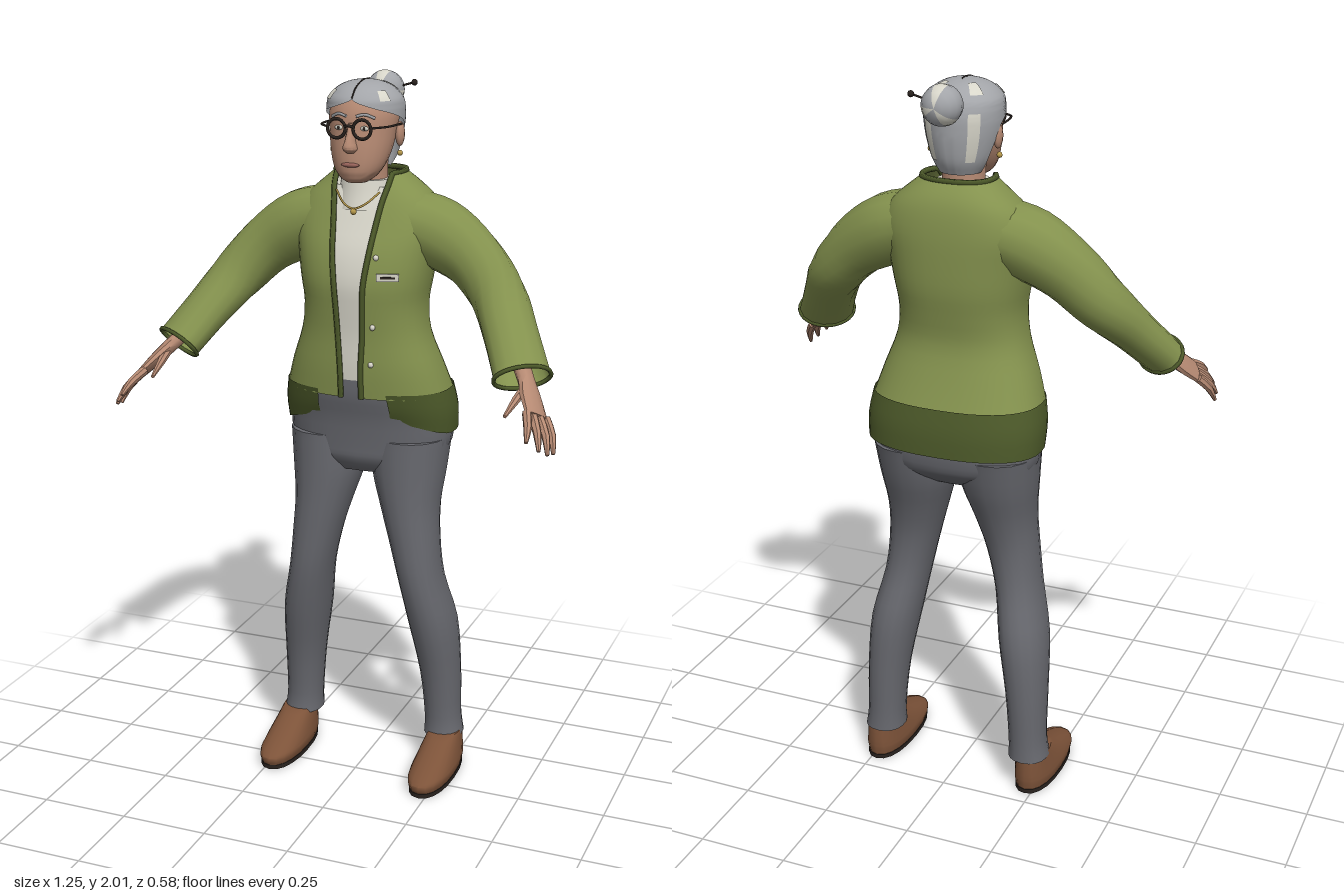
import * as THREE from 'three';
import { toCreasedNormals } from 'three/addons/utils/BufferGeometryUtils.js';

const mat = (name, color, side = THREE.FrontSide) => {
  const m = new THREE.MeshStandardMaterial({ color, side });
  m.name = name;
  return m;
};
const V = (x, y, z) => new THREE.Vector3(x, y, z);

// Smoothly subdivides the rows of a section table
function smooth(rows, k = 3) {
  const out = [];
  for (let i = 0; i < rows.length - 1; i++) {
    const [a, b, c, d] = [rows[Math.max(0, i - 1)], rows[i], rows[i + 1], rows[Math.min(rows.length - 1, i + 2)]];
    for (let j = 0; j < k; j++) {
      const t = j / k;
      out.push(b.map((v, q) => {
        const c3 = 3 * (v - c[q]) + d[q] - a[q];
        const c2 = 2 * a[q] - 5 * v + 4 * c[q] - d[q];
        return v + 0.5 * t * (c[q] - a[q] + t * (c2 + t * c3));
      }));
    }
  }
  out.push(rows[rows.length - 1]);
  return out;
}

// Level ring from [y, half width, front z, back z, start angle, centre x, front lift]
function ring([y, rx, zf, zb, a0 = 0, cx = 0, lift = 0], p = 2, n = 24, to) {
  const start = Math.max(0, a0), end = to ?? Math.PI * 2 - start;
  const pw = (v) => Math.sign(v) * Math.abs(v) ** (2 / p);
  return Array.from({ length: n + 1 }, (_, i) => {
    const a = start + (end - start) * i / n, c = Math.cos(a);
    return V(cx + rx * pw(Math.sin(a)), y + lift * Math.max(0, c) ** 2, (zf + zb) / 2 + (zf - zb) / 2 * pw(c));
  });
}

// Skin over successive rings, optionally closed at both ends
function loft(rings, caps = true, crease = 0.8) {
  const mid = (r) => {
    const c = V(0, 0, 0);
    r.slice(1).forEach((v) => c.add(v));
    c.divideScalar(r.length - 1);
    return r.map(() => c);
  };
  const all = caps ? [mid(rings[0]), ...rings, mid(rings[rings.length - 1])] : rings;
  const m = all[0].length, index = [];
  for (let i = 0; i < all.length - 1; i++) for (let j = 0; j < m - 1; j++) {
    const a = i * m + j, b = a + m;
    index.push(a, a + 1, b + 1, a, b + 1, b);
  }
  const g = new THREE.BufferGeometry().setFromPoints(all.flat());
  g.setIndex(index);
  return toCreasedNormals(g, crease);
}

// Rings along a path of [x, y, z, r1, r2]
function limbRings(pts, ref, k = 4, n = 14) {
  const rows = smooth(pts, k), pos = rows.map((r) => V(r[0], r[1], r[2]));
  return rows.map((r, i) => {
    const t = pos[Math.min(i + 1, pos.length - 1)].clone().sub(pos[Math.max(i - 1, 0)]).normalize();
    const u = ref.clone().cross(t).normalize(), v = t.clone().cross(u);
    return Array.from({ length: n + 1 }, (_, j) => {
      const a = j / n * Math.PI * 2;
      return pos[i].clone().addScaledVector(u, r[3] * Math.cos(a)).addScaledVector(v, r[4] * Math.sin(a));
    });
  });
}
const tube = (pts, r, seg = 24, closed = false) => new THREE.TubeGeometry(new THREE.CatmullRomCurve3(pts, closed), seg, r, 5, closed);

export function createModel() {
  const D = THREE.DoubleSide;
  const green = mat('cardigan green', 0x84924e, D), darkGreen = mat('trim green', 0x4d5a2a, D);
  const grey = mat('trouser grey', 0x68696f), brown = mat('shoe brown', 0x7d5339), dark = mat('dark', 0x29221e);
  const skin = mat('skin', 0xb68a73), white = mat('off white', 0xd8d6ca, D), hairM = mat('hair grey', 0xa3a5a9, D);
  const gold = mat('gold', 0xb89a4c), lip = mat('lip', 0x98635a);
  const model = new THREE.Group();
  const add = (name, geo, m, x = 0, y = 0, z = 0) => {
    const mesh = new THREE.Mesh(geo, m);
    mesh.name = name;
    mesh.position.set(x, y, z);
    model.add(mesh);
    return mesh;
  };

  // Cardigan: [y, half width, front z, back z, half width of the opening]
  const P = 2.4;
  const torso = smooth([
    [1.15, 0.237, 0.033, -0.272, 0.03], [1.23, 0.212, 0.04, -0.242, 0.03], [1.32, 0.18, 0.042, -0.217, 0.035],
    [1.40, 0.171, 0.05, -0.226, 0.038], [1.47, 0.181, 0.055, -0.238, 0.042], [1.55, 0.194, 0.04, -0.241, 0.052],
    [1.62, 0.205, 0.012, -0.24, 0.06], [1.68, 0.182, -0.012, -0.232, 0.068], [1.72, 0.14, -0.03, -0.217, 0.076],
    [1.755, 0.096, -0.045, -0.19, 0.08]]);
  const cardigan = torso.map((r) => ring([...r.slice(0, 4), Math.asin((r[4] / r[1]) ** (P / 2))], P, 36));
  add('cardigan', loft(cardigan, false), green);
  const edge = [...cardigan.map((r) => r[0]), ...cardigan[cardigan.length - 1].slice(1, -1), ...cardigan.map((r) => r[36]).reverse()];
  add('cardiganTrim', tube(edge, 0.008, 120), darkGreen);
  const hem = smooth([[1.035, 0.245, 0.006, -0.288, 0.36, 0, 0.055], [1.10, 0.247, 0.022, -0.286, 0.36, 0, 0.02], [1.165, 0.236, 0.037, -0.274, 0.36, 0, 0]]);
  add('cardiganHem', loft(hem.map((r) => ring(r, P, 36)), false), darkGreen);

  // Blouse and roll neck
  const inner = torso.filter((r) => r[0] > 1.19 && r[0] < 1.73);
  add('blouse', loft(inner.map(([y, rx, f, b]) => ring([y, rx - 0.008, f - 0.005, b + 0.01], P))), white);
  add('rollNeck', loft(smooth([[1.66, 0.083, 0.0, -0.17], [1.70, 0.076, -0.012, -0.16], [1.738, 0.07, -0.02, -0.153]]).map((r) => ring(r))), white);
  add('necklace', tube([V(-0.062, 1.71, -0.02), V(-0.03, 1.68, 0.007), V(0, 1.668, 0.014), V(0.03, 1.68, 0.007), V(0.062, 1.71, -0.02)], 0.003), gold);
  add('pendant', new THREE.SphereGeometry(0.009, 8, 6), gold, 0, 1.66, 0.014);
  for (const [x, y, z] of [[0.073, 1.545, 0.037], [0.066, 1.355, 0.042], [0.06, 1.25, 0.039]])
    add('button', new THREE.SphereGeometry(0.008, 8, 6), white, x, y, z);
  const tag = add('chestTag', new THREE.BoxGeometry(0.06, 0.02, 0.008), white, 0.108, 1.495, 0.041);
  const tagBar = add('tagStripe', new THREE.BoxGeometry(0.04, 0.006, 0.009), dark, 0.109, 1.495, 0.042);
  tag.rotation.y = tagBar.rotation.y = 0.3;

  // Trousers
  add('trouserSeat', loft(smooth([[0.92, 0.13, -0.03, -0.19], [0.96, 0.2, -0.005, -0.245], [1.0, 0.232, 0, -0.266], [1.08, 0.235, 0.01, -0.272],
    [1.15, 0.226, 0.027, -0.262], [1.21, 0.205, 0.03, -0.24]]).map((r) => ring(r, P))), grey);

  for (const s of [1, -1]) {
    const side = s > 0 ? 'left' : 'right';
    const leg = [[0.10, 0.224, 0.057, -0.085, -0.213], [0.16, 0.22, 0.052, -0.088, -0.212], [0.3, 0.213, 0.057, -0.068, -0.217],
      [0.46, 0.195, 0.066, -0.028, -0.214], [0.6, 0.168, 0.062, -0.004, -0.178], [0.72, 0.147, 0.07, 0, -0.175],
      [0.82, 0.13, 0.083, 0, -0.198], [0.92, 0.12, 0.103, 0, -0.235], [1.02, 0.12, 0.112, 0, -0.262]]
      .map(([y, cx, rx, f, b]) => [y, rx, f, b, 0, s * cx]);
    add(side + 'TrouserLeg', loft(smooth(leg).map((r) => ring(r, 2.2, 18))), grey);

    // Shoes
    const shoe = [[0.012, 0.056, 0.1, -0.207], [0.035, 0.061, 0.105, -0.21], [0.055, 0.058, 0.07, -0.21],
      [0.085, 0.051, -0.005, -0.208], [0.112, 0.045, -0.07, -0.205]].map((r) => [...r, 0, s * 0.233]);
    add(side + 'Shoe', loft(smooth(shoe).map((r) => ring(r, 2.3, 20))), brown);
    add(side + 'Sole', loft([0, 0.013].map((y) => ring([y, 0.058, 0.102, -0.209, 0, s * 0.233], 2.3, 20))), dark);

    // Sleeves
    const M = (pts) => pts.map(([x, ...r]) => [s * x, ...r]);
    const sleeve = limbRings(M([[0.1, 1.625, -0.115, 0.10, 0.085], [0.2, 1.592, -0.115, 0.093, 0.096], [0.3, 1.53, -0.105, 0.077, 0.083],
      [0.38, 1.445, -0.073, 0.076, 0.073], [0.44, 1.36, 0.0, 0.075, 0.06], [0.497, 1.272, 0.08, 0.078, 0.054]]), V(0, 1, 0));
    add(side + 'Sleeve', loft(sleeve, false), green);
    add(side + 'CuffEdge', tube(sleeve[sleeve.length - 1].slice(0, -1), 0.006, 30, true), darkGreen);

    // Hands
    const across = V(s * -0.05, 0.05, 0.085).normalize();
    add(side + 'Palm', loft(limbRings(M([[0.46, 1.33, 0.02, 0.024, 0.03], [0.51, 1.27, 0.09, 0.02, 0.027], [0.538, 1.235, 0.135, 0.018, 0.04],
      [0.566, 1.2, 0.178, 0.012, 0.042]]), across, 3, 10)), skin);
    const fingers = [
      [[0.545, 1.215, 0.197], [0.562, 1.192, 0.245], [0.57, 1.165, 0.285]],
      [[0.558, 1.205, 0.185], [0.583, 1.173, 0.228], [0.597, 1.138, 0.262]],
      [[0.572, 1.195, 0.17], [0.6, 1.16, 0.207], [0.613, 1.122, 0.237]],
      [[0.583, 1.19, 0.15], [0.608, 1.155, 0.178], [0.619, 1.115, 0.202]],
      [[0.515, 1.255, 0.11], [0.507, 1.237, 0.17], [0.499, 1.212, 0.238]]];
    const fr = [0.0125, 0.011, 0.005];
    fingers.forEach((f, i) => {
      const path = M(f.map((q, j) => [...q, fr[j], fr[j]]));
      add(side + (i < 4 ? 'Finger' : 'Thumb'), loft(limbRings(path, across, 2, 7)), skin);
    });

    // Eye, brow, glasses, ear and earring
    const eye = add(side + 'Eye', new THREE.SphereGeometry(0.012, 10, 6), white, s * 0.036, 1.882, 0.026);
    eye.scale.set(1, 0.55, 0.35);
    add(side + 'Pupil', new THREE.SphereGeometry(0.0045, 8, 6), dark, s * 0.036, 1.882, 0.028);
    add(side + 'Brow', tube([V(s * 0.014, 1.913, 0.03), V(s * 0.036, 1.918, 0.025), V(s * 0.06, 1.908, 0.012)], 0.004, 8), hairM);
    add(side + 'GlassesRim', new THREE.TorusGeometry(0.025, 0.0045, 6, 20), dark, s * 0.036, 1.882, 0.044);
    add(side + 'GlassesArm', tube([V(s * 0.061, 1.886, 0.044), V(s * 0.09, 1.887, 0.015), V(s * 0.1, 1.885, -0.08)], 0.003, 12), dark);
    const ear = add(side + 'Ear', new THREE.SphereGeometry(0.03, 10, 8), skin, s * 0.094, 1.858, -0.085);
    ear.scale.set(0.4, 1.1, 0.65);
    add(side + 'Earring', new THREE.SphereGeometry(0.008, 8, 6), gold, s * 0.096, 1.808, -0.08);
  }

  // Head and neck
  add('neck', loft([[1.68, 0.062, -0.03, -0.15], [1.74, 0.056, -0.03, -0.145], [1.80, 0.058, -0.02, -0.145]].map((r) => ring(r))), skin);
  add('head', loft(smooth([[1.737, 0.028, 0.018, -0.04], [1.752, 0.05, 0.034, -0.07], [1.78, 0.069, 0.039, -0.1], [1.82, 0.082, 0.038, -0.13],
    [1.87, 0.09, 0.032, -0.15], [1.92, 0.093, 0.026, -0.16], [1.965, 0.07, 0, -0.13], [1.985, 0.03, -0.04, -0.1]]).map((r) => ring(r))), skin);
  add('nose', loft(smooth([[1.818, 0.012, 0.045, 0.01], [1.83, 0.02, 0.062, 0.01], [1.85, 0.014, 0.057, 0.01], [1.895, 0.008, 0.037, 0.01]])
    .map((r) => ring(r, 2, 12))), skin);
  const mouth = add('lips', new THREE.SphereGeometry(0.026, 12, 8), lip, 0, 1.787, 0.036);
  mouth.scale.set(1, 0.26, 0.3);
  add('glassesBridge', tube([V(-0.012, 1.887, 0.045), V(0, 1.891, 0.053), V(0.012, 1.887, 0.045)], 0.004, 8), dark);

  // Hair, with pale streaks laid over it
  const hair = smooth([[1.765, 0.056, -0.05, -0.16, 1.6], [1.80, 0.08, 0, -0.178, 1.85], [1.85, 0.097, 0.03, -0.188, 1.8],
    [1.89, 0.104, 0.034, -0.191, 1.65], [1.915, 0.105, 0.034, -0.191, 1.15], [1.935, 0.104, 0.032, -0.187, 0.5],
    [1.955, 0.098, 0.026, -0.178, 0], [1.98, 0.073, 0, -0.15, 0], [1.994, 0.04, -0.035, -0.115, 0], [1.999, 0.005, -0.07, -0.08, 0]], 4);
  add('hair', loft(hair.map((r) => ring(r, 2, 28)), false, 1.2), hairM);
  const T = Math.PI * 2;
  for (const [y0, y1, a, b] of [[1.945, 1.978, 0.75, 1.05], [1.965, 1.992, 2.2, 2.6], [1.80, 1.93, 2.35, 2.65]]) {
    const rows = hair.filter((r) => r[0] >= y0 && r[0] <= y1);
    for (const [p, q] of [[a, b], [T - b, T - a]]) {
      const strip = rows.map(([y, rx, f, k]) => ring([y + 0.001, rx + 0.002, f + 0.002, k - 0.002, p], 2, 4, q));
      add('hairStreak', loft(strip, false), white);
    }
  }
  add('parting', tube([V(0, 1.957, 0.026), V(0, 1.98, 0.001), V(0, 1.997, -0.05), V(0, 1.998, -0.1)], 0.002, 12), dark);

  // Bun of alternating wedges and its hairpin
  for (let i = 0; i < 10; i++) {
    const wedge = add('bunWedge', new THREE.SphereGeometry(0.053, 2, 8, i * T / 10, T / 10), i % 3 === 1 ? white : hairM, 0, 1.955, -0.222);
    wedge.rotation.x = Math.PI / 2;
  }
  add('hairpin', tube([V(-0.03, 1.945, -0.22), V(0.03, 1.962, -0.222), V(0.083, 1.977, -0.225)], 0.003, 6), dark);
  add('hairpinBead', new THREE.SphereGeometry(0.009, 8, 6), dark, 0.083, 1.977, -0.225);
  return model;
}
